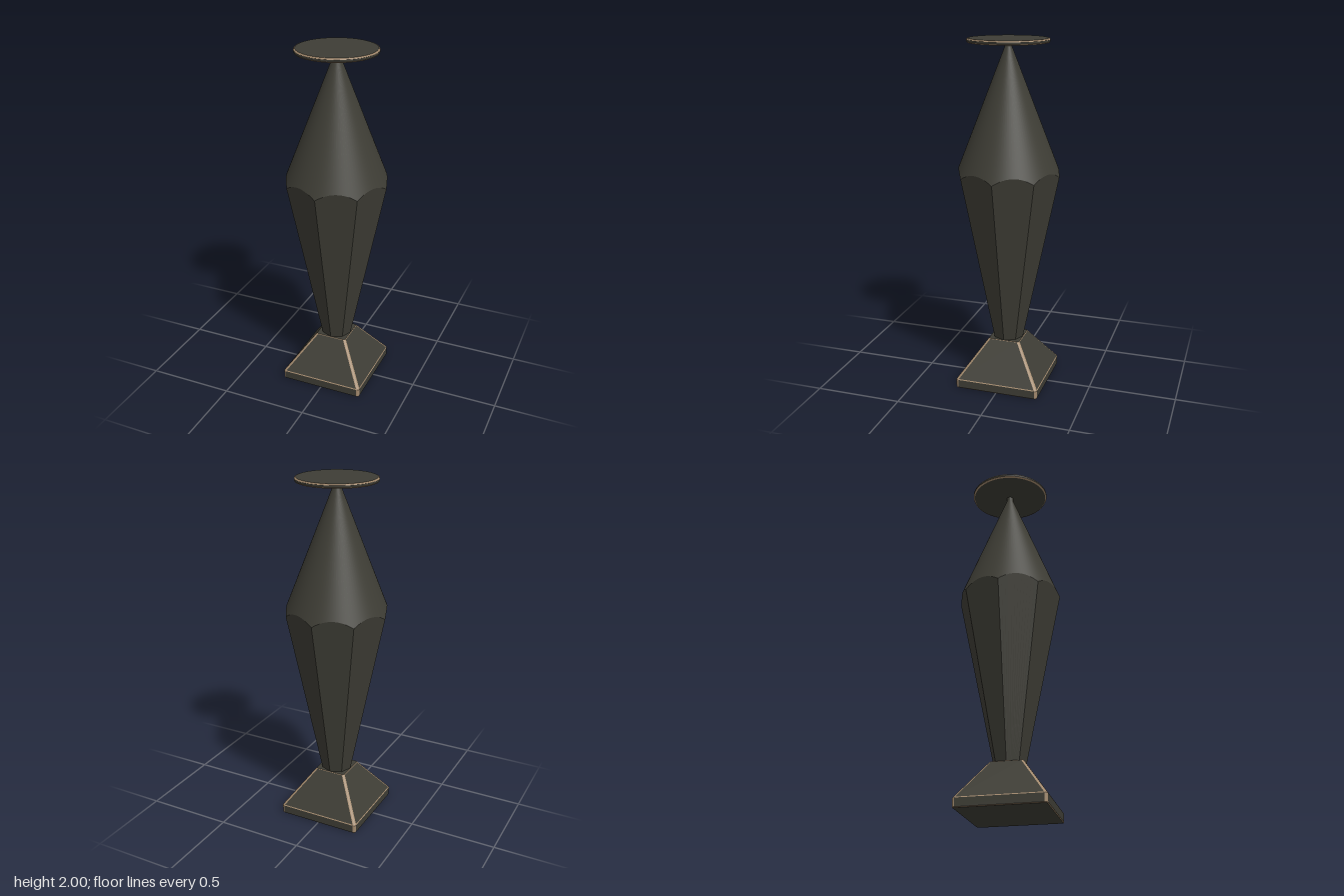
import * as THREE from 'three';

const dark = new THREE.MeshStandardMaterial({ color: 0x3e3d35 });
dark.name = 'darkBronze';
const tan = new THREE.MeshStandardMaterial({ color: 0xa1886c });
tan.name = 'wornEdge';

function addMesh(group, name, geometry, material) {
  const mesh = new THREE.Mesh(geometry, material);
  mesh.name = name;
  group.add(mesh);
}

function flatGeometry(positions) {
  const g = new THREE.BufferGeometry();
  g.setAttribute('position', new THREE.Float32BufferAttribute(positions, 3));
  g.computeVertexNormals();
  return g;
}

const quad = (out, a, b, c, d) => out.push(...a, ...b, ...c, ...a, ...c, ...d);

// Square outline with rounded corners, counterclockwise from above
const ARC = 5;
function roundedSquare([half, y, radius]) {
  const pts = [];
  for (let k = 0; k < 4; k++) {
    const mid = Math.PI / 4 + k * Math.PI / 2;
    const cx = Math.sign(Math.cos(mid)) * (half - radius);
    const cz = -Math.sign(Math.sin(mid)) * (half - radius);
    for (let j = 0; j <= ARC; j++) {
      const a = k * Math.PI / 2 + (j / ARC) * Math.PI / 2;
      pts.push([cx + radius * Math.cos(a), y, cz - radius * Math.sin(a)]);
    }
  }
  return pts;
}

// Stepped plinth: dark panels with worn bevels and corners
function buildBase() {
  const group = new THREE.Group();
  group.name = 'base';
  const rings = [
    [0.241, 0, 0.012], [0.245, 0.004, 0.015], [0.245, 0.05, 0.015],
    [0.242, 0.055, 0.015], [0.095, 0.266, 0.013], [0.092, 0.269, 0.011],
  ].map(roundedSquare);
  const panels = [], edges = [];
  const n = rings[0].length;
  for (let r = 0; r < rings.length - 1; r++) {
    for (let i = 0; i < n; i++) {
      const j = (i + 1) % n;
      const isCorner = i % (ARC + 1) !== ARC;
      const isBevel = r % 2 === 0;
      quad(isCorner || isBevel ? edges : panels,
        rings[r][i], rings[r][j], rings[r + 1][j], rings[r + 1][i]);
    }
  }
  // Underside and top
  const top = rings[rings.length - 1];
  for (let i = 0; i < n; i++) {
    const j = (i + 1) % n;
    panels.push(0, 0, 0, ...rings[0][j], ...rings[0][i]);
    panels.push(0, 0.269, 0, ...top[i], ...top[j]);
  }
  addMesh(group, 'basePanels', flatGeometry(panels), dark);
  addMesh(group, 'baseWornEdges', flatGeometry(edges), tan);
  return group;
}

// Eight-sided shaft meeting a smooth cone along a scalloped line
function buildBody() {
  const group = new THREE.Group();
  group.name = 'body';
  const R = 0.295, footR = 0.09, footY = 0.268, waistY = 1.25;
  const neckR = 0.02, neckY = 1.955;
  const flare = (R - footR) / (waistY - footY);
  const taper = (R - neckR) / (neckY - waistY);
  const SEG = 12, N = SEG * 8;
  const polar = (r, a, y) => [r * Math.cos(a), y, -r * Math.sin(a)];
  const foot = [], seam = [], neck = [];
  for (let i = 0; i < N; i++) {
    const a = (i / N) * Math.PI * 2;
    const offset = ((i % SEG) / SEG - 0.5) * Math.PI / 4;
    const f = Math.cos(Math.PI / 8) / Math.cos(offset);
    const rise = R * (1 - f) / (f * flare + taper);
    foot.push(polar(footR * f, a, footY));
    seam.push(polar(R - taper * rise, a, waistY + rise));
    neck.push(polar(neckR, a, neckY));
  }
  const shaft = [];
  const coneIndex = [];
  for (let i = 0; i < N; i++) {
    const j = (i + 1) % N;
    quad(shaft, foot[i], foot[j], seam[j], seam[i]);
    coneIndex.push(i, j, N + j, i, N + j, N + i);
  }
  addMesh(group, 'shaft', flatGeometry(shaft), dark);
  const cone = new THREE.BufferGeometry();
  cone.setAttribute('position', new THREE.Float32BufferAttribute([...seam, ...neck].flat(), 3));
  cone.setIndex(coneIndex);
  cone.computeVertexNormals();
  addMesh(group, 'cone', cone, dark);
  const stem = new THREE.CylinderGeometry(neckR, neckR, 0.026, 32, 1, true);
  stem.translate(0, 1.966, 0);
  addMesh(group, 'neck', stem, dark);
  return group;
}

// Round plate with worn bevels above and below a dark rim
function buildPlate() {
  const group = new THREE.Group();
  group.name = 'topPlate';
  const ring = (name, pts, material) => addMesh(group, name,
    new THREE.LatheGeometry(pts.map(p => new THREE.Vector2(...p)), 96), material);
  ring('plateUnderside', [[0, 1.976], [0.218, 1.976]], dark);
  ring('plateLowerBevel', [[0.218, 1.976], [0.223, 1.978], [0.226, 1.983]], tan);
  ring('plateRim', [[0.226, 1.983], [0.226, 1.993]], dark);
  ring('plateUpperBevel', [[0.226, 1.993], [0.223, 1.998], [0.218, 2]], tan);
  ring('plateTop', [[0.218, 2], [0, 2]], dark);
  return group;
}

export function createModel() {
  const model = new THREE.Group();
  model.name = 'pedestal';
  model.add(buildBase(), buildBody(), buildPlate());
  return model;
}
